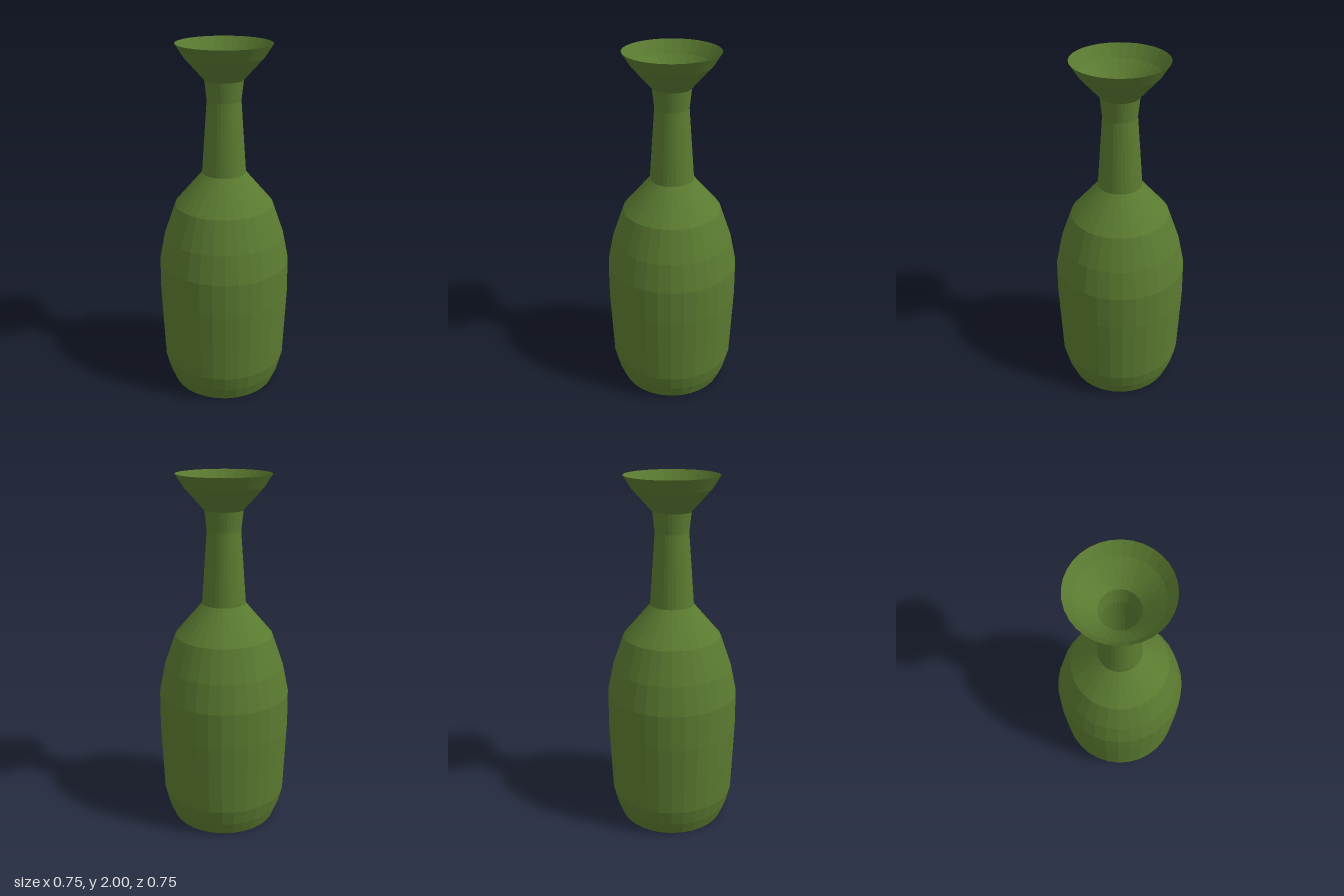
import * as THREE from 'three';

// Outline of the bottle as [radius, height], from foot to rim
const bodyProfile = [
  [0.303, 0], [0.335, 0.08], [0.357, 0.17], [0.366, 0.4], [0.373, 0.58],
  [0.371, 0.78], [0.338, 0.94], [0.275, 1.12], [0.122, 1.3],
];
const neckProfile = [[0.122, 1.3], [0.093, 1.7], [0.105, 1.81]];
const mouthProfile = [[0.105, 1.81], [0.213, 1.93], [0.258, 2]];

export function createModel() {
  const bottle = new THREE.Group();
  bottle.name = 'bottle';

  // Thin faceted glass, open at the foot and the mouth
  const glass = new THREE.MeshStandardMaterial({
    color: 0x5a7a30,
    flatShading: true,
    side: THREE.DoubleSide,
  });

  const addTurnedPart = (name, profile) => {
    const points = profile.map(([r, y]) => new THREE.Vector2(r, y));
    const mesh = new THREE.Mesh(new THREE.LatheGeometry(points, 32), glass);
    mesh.name = name;
    bottle.add(mesh);
  };

  addTurnedPart('body', bodyProfile);
  addTurnedPart('neck', neckProfile);
  addTurnedPart('flaredMouth', mouthProfile);

  return bottle;
}
